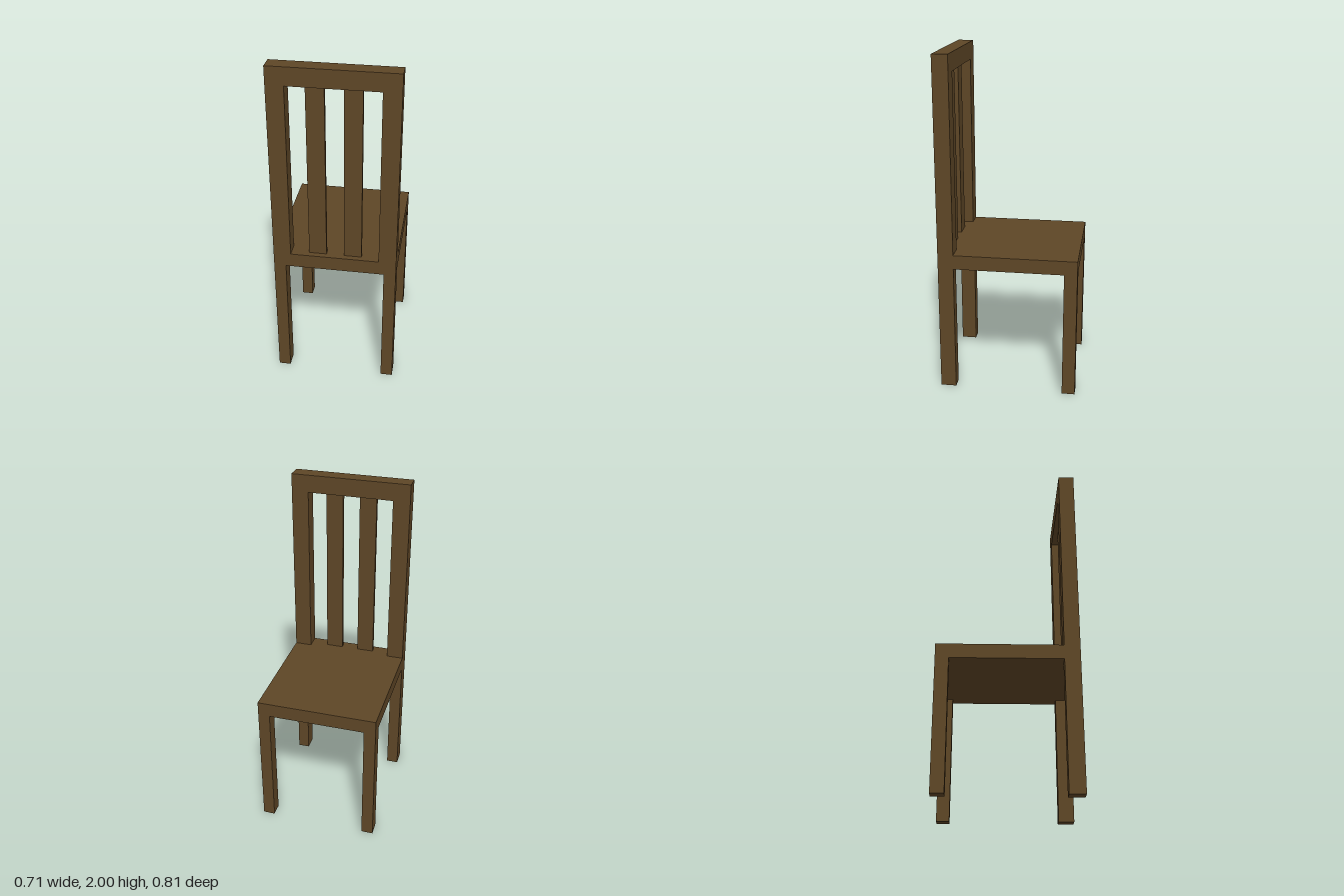
import * as THREE from 'three';

const W = 0.357;          // half width
const D = 0.407;          // half depth
const BACK = 0.315;       // inner face of the back frame
const SEAT_LOW = 0.765, SEAT_TOP = 0.85, TOP = 2;
const LEG = 0.07;         // leg width

export function createModel() {
  const chair = new THREE.Group();
  chair.name = 'chair';
  const wood = new THREE.MeshStandardMaterial({ color: 0x5e4626 });

  const add = (name, geometry, x, y, z) => {
    const mesh = new THREE.Mesh(geometry, wood);
    mesh.name = name;
    mesh.position.set(x, y, z);
    chair.add(mesh);
  };
  const points = (list) => list.map(([x, y]) => new THREE.Vector2(x, y));

  // Back frame: rear legs, lower rail, posts and top rail cut from one board
  const inner = W - LEG;
  const frame = new THREE.Shape(points([
    [-W, 0], [-inner, 0], [-inner, SEAT_LOW], [inner, SEAT_LOW],
    [inner, 0], [W, 0], [W, TOP], [-W, TOP],
  ]));
  const opening = 0.256;
  frame.holes.push(new THREE.Path(points([
    [-opening, SEAT_TOP], [-opening, 1.895], [opening, 1.895], [opening, SEAT_TOP],
  ])));
  add('backFrame', new THREE.ExtrudeGeometry(frame, { depth: D - BACK, bevelEnabled: false }), 0, 0, BACK);

  // Seat
  add('seat', new THREE.BoxGeometry(2 * W, SEAT_TOP - SEAT_LOW, D + BACK),
    0, (SEAT_LOW + SEAT_TOP) / 2, (BACK - D) / 2);

  // Front legs and thin back slats, mirrored
  const legDepth = 0.077;
  for (const [side, s] of [['left', 1], ['right', -1]]) {
    add(side + 'FrontLeg', new THREE.BoxGeometry(LEG, SEAT_LOW, legDepth),
      s * (W - LEG / 2), SEAT_LOW / 2, -D + legDepth / 2);
    add(side + 'Slat', new THREE.BoxGeometry(0.102, 1.895 - SEAT_TOP, 0.025),
      s * 0.102, (1.895 + SEAT_TOP) / 2, (BACK + D) / 2);
  }
  return chair;
}
